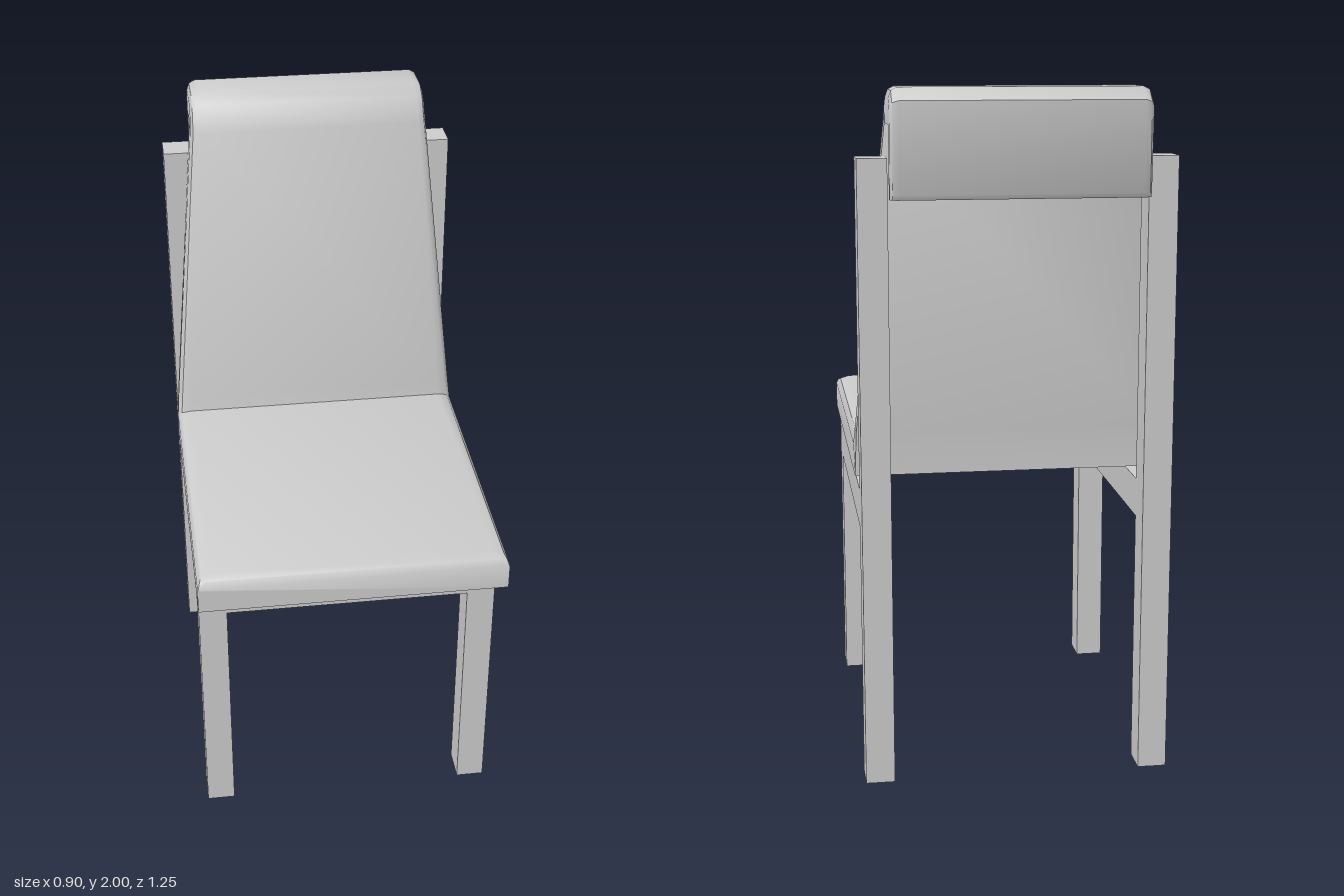
import * as THREE from 'three';
import { toCreasedNormals } from 'three/addons/utils/BufferGeometryUtils.js';

const material = new THREE.MeshStandardMaterial({ color: 0xcccccc });

// Stations along the upholstery, from seat front over the back to the rear flap:
// outer z, outer y, inner z, inner y, half width, bevel width, bevel depth
const STATIONS = [
  [0.625, 0.955, 0.625, 0.875, 0.452, 0.006, 0.006],
  [0.615, 0.974, 0.615, 0.875, 0.452, 0.022, 0.018],
  [0.59, 0.985, 0.59, 0.875, 0.452, 0.042, 0.03],
  [-0.283, 0.985, -0.36, 0.875, 0.452, 0.042, 0.03],
  [-0.289, 1.03, -0.36, 1.0, 0.447, 0.04, 0.03],
  [-0.398, 1.9, -0.475, 1.9, 0.363, 0.025, 0.03],
  [-0.436, 1.975, -0.475, 1.9, 0.361, 0.025, 0.03],
  [-0.48, 2.0, -0.478, 1.9, 0.361, 0.025, 0.03],
  [-0.585, 2.0, -0.578, 1.9, 0.361, 0.025, 0.03],
  [-0.623, 1.965, -0.58, 1.898, 0.361, 0.025, 0.022],
  [-0.623, 1.715, -0.58, 1.712, 0.361, 0.025, 0.022],
  [-0.612, 1.7, -0.58, 1.7, 0.361, 0.02, 0.015],
];

// Eight-sided cross-section with softened outer corners
function section([oz, oy, iz, iy, w, bevel, depth]) {
  const len = Math.hypot(iz - oz, iy - oy);
  const at = (x, d) => [x, oy + ((iy - oy) * d) / len, oz + ((iz - oz) * d) / len];
  const half = [at(w, len), at(w, depth), at(w - 0.3 * bevel, 0.3 * depth), at(w - bevel, 0)];
  return [...half, ...half.map(([x, y, z]) => [-x, y, z]).reverse()];
}

function loft(rings) {
  const n = rings[0].length;
  const index = [];
  for (let i = 0; i < rings.length - 1; i++) {
    for (let j = 0; j < n; j++) {
      const a = i * n + j, b = i * n + ((j + 1) % n);
      index.push(a, a + n, b + n, a, b + n, b);
    }
  }
  // End caps
  const last = (rings.length - 1) * n;
  for (let j = 1; j < n - 1; j++) {
    index.push(0, j, j + 1, last, last + j + 1, last + j);
  }
  const geometry = new THREE.BufferGeometry();
  geometry.setAttribute('position', new THREE.Float32BufferAttribute(rings.flat(2), 3));
  geometry.setIndex(index);
  return toCreasedNormals(geometry, THREE.MathUtils.degToRad(42));
}

// Box given by its extents on each axis
function bar(name, [x0, x1], [y0, y1], [z0, z1]) {
  const mesh = new THREE.Mesh(new THREE.BoxGeometry(x1 - x0, y1 - y0, z1 - z0), material);
  mesh.position.set((x0 + x1) / 2, (y0 + y1) / 2, (z0 + z1) / 2);
  mesh.name = name;
  return mesh;
}

export function createModel() {
  const chair = new THREE.Group();
  chair.name = 'chair';

  // Wooden frame: legs, rear posts, side rails and front rail
  const frame = new THREE.Group();
  frame.name = 'frame';
  const inner = 0.363, outer = 0.447;
  const railY = [0.753, 0.865];
  for (const [side, x] of [['left', [inner, outer]], ['right', [-outer, -inner]]]) {
    frame.add(
      bar(side + 'FrontLeg', x, [0, 0.865], [0.39, 0.487]),
      bar(side + 'RearPost', x, [0, 1.81], [-0.56, -0.467]),
      bar(side + 'SideRail', x, railY, [-0.467, 0.39]),
    );
  }
  frame.add(bar('frontRail', [-inner, inner], railY, [0.39, 0.487]));
  chair.add(frame);

  // One continuous upholstered seat, backrest and rear flap
  const upholstery = new THREE.Mesh(loft(STATIONS.map(section)), material);
  upholstery.name = 'upholstery';
  chair.add(upholstery);

  return chair;
}
